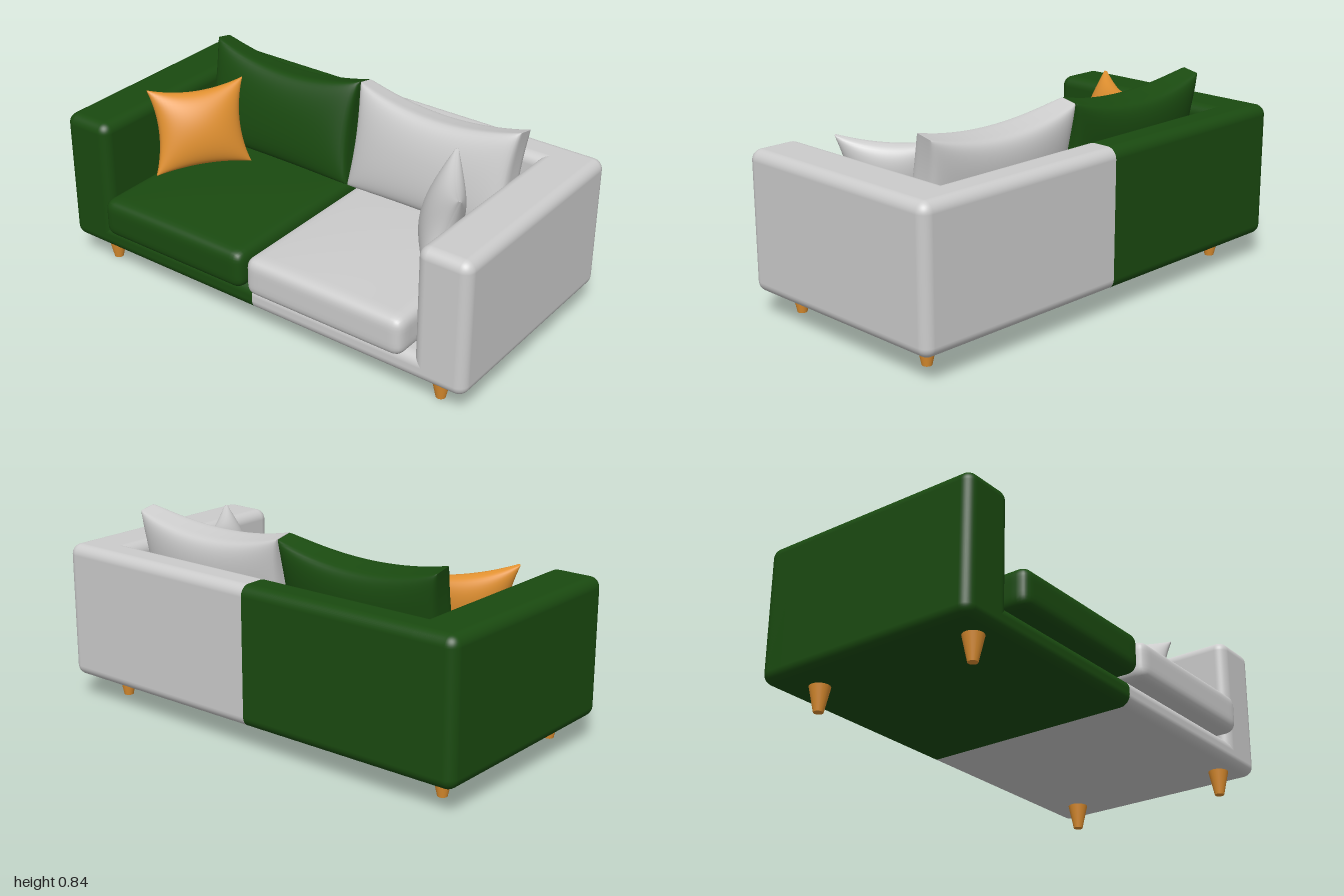
import * as THREE from 'three';
import { mergeVertices } from 'three/addons/utils/BufferGeometryUtils.js';
import { RoundedBoxGeometry } from 'three/addons/geometries/RoundedBoxGeometry.js';

const material = (color) => new THREE.MeshStandardMaterial({ color, roughness: 0.9 });
const grey = material(0xcccccc);
const green = material(0x1a4a10);
const orange = material(0xe09030);

// Unit cube (-1..1) with denser rows near its edges, moved by a rule, smooth normals
function moulded(nx, ny, nz, rule) {
  let geo = new THREE.BoxGeometry(2, 2, 2, nx, ny, nz);
  geo.deleteAttribute('uv');
  geo.deleteAttribute('normal');
  geo = mergeVertices(geo);
  const pos = geo.attributes.position;
  const ease = (t) => Math.sin((t * Math.PI) / 2);
  for (let i = 0; i < pos.count; i++) {
    const p = rule(ease(pos.getX(i)), ease(pos.getY(i)), ease(pos.getZ(i)));
    pos.setXYZ(i, p.x, p.y, p.z);
  }
  geo.computeVertexNormals();
  return geo;
}

// Stuffed pillow facing +z: pinched outline, pointed corners, swollen middle
function pillow({ w, h, thick, edge, power, pinchX, pinchTop, pinchBottom }) {
  return moulded(28, 28, 4, (u, v, s) => {
    const a = Math.max(0, 1 - u * u);
    const b = Math.max(0, 1 - v * v);
    const half = edge + (thick / 2 - edge) * Math.pow(a * b, power);
    const pinchY = v > 0 ? pinchTop : pinchBottom;
    return new THREE.Vector3(
      (u * w / 2) * (1 - pinchX * b),
      (v * h / 2) * (1 - pinchY * a),
      s * half
    );
  });
}

// Rounded block with a gently domed top
function seatBlock(w, h, d, r, crown) {
  const size = new THREE.Vector3(w / 2, h / 2, d / 2);
  const inner = size.clone().subScalar(r);
  const low = inner.clone().negate();
  return moulded(28, 14, 28, (u, v, s) => {
    const p = new THREE.Vector3(u, v, s).multiply(size);
    const core = p.clone().clamp(low, inner);
    p.sub(core).setLength(r).add(core);
    p.y += crown * (1 - u * u) * (1 - s * s) * (v > 0 ? v : 0);
    return p;
  });
}

// Rounded frame block for one half, cut flat where the halves meet at x = 0
function frameBlock(side, x0, x1, y0, y1, z0, z1) {
  const geo = new RoundedBoxGeometry(x1 - x0, y1 - y0, z1 - z0, 5, 0.045);
  geo.translate((side * (x0 + x1)) / 2, (y0 + y1) / 2, (z0 + z1) / 2);
  const pos = geo.attributes.position;
  for (let i = 0; i < pos.count; i++) pos.setX(i, side * Math.max(0, side * pos.getX(i)));
  return geo;
}

export function createModel() {
  const sofa = new THREE.Group();
  sofa.name = 'sofa';

  const seatGeo = seatBlock(0.745, 0.17, 0.895, 0.045, 0.015);
  const backGeo = pillow({
    w: 0.765, h: 0.455, thick: 0.22, edge: 0.035, power: 0.36,
    pinchX: 0.05, pinchTop: 0.24, pinchBottom: 0.04,
  });
  const throwGeo = pillow({
    w: 0.42, h: 0.37, thick: 0.16, edge: 0.006, power: 0.5,
    pinchX: 0.16, pinchTop: 0.18, pinchBottom: 0.12,
  });
  const legGeo = new THREE.CylinderGeometry(0.045, 0.02, 0.115, 24);

  for (const side of [-1, 1]) {
    const half = new THREE.Group();
    half.name = side > 0 ? 'leftHalf' : 'rightHalf';
    const fabric = side > 0 ? grey : green;
    const add = (name, geo, mat, x = 0, y = 0, z = 0) => {
      const mesh = new THREE.Mesh(geo, mat);
      mesh.name = name;
      mesh.position.set(side * x, y, z);
      half.add(mesh);
      return mesh;
    };

    // Frame
    add('base', frameBlock(side, -0.2, 1, 0.105, 0.215, -0.54, 0.475), fabric);
    add('backrest', frameBlock(side, -0.2, 1, 0.105, 0.69, -0.54, -0.38), fabric);
    add('armrest', frameBlock(side, 0.77, 1, 0.105, 0.69, -0.54, 0.475), fabric);

    // Cushions
    add('seatCushion', seatGeo, fabric, 0.382, 0.3, 0.0875);
    const back = add('backCushion', backGeo, fabric, 0.385, 0.615, -0.245);
    back.rotation.x = -0.2;

    // Throw pillow leaning on the armrest
    const loose = add('throwPillow', throwGeo, side > 0 ? grey : orange, 0.62, 0.578, 0.06);
    loose.rotation.set(-0.3, -side * 0.98, 0, 'YXZ');

    // Tapered legs
    for (const [name, z] of [['frontLeg', 0.375], ['backLeg', -0.37]]) {
      add(name, legGeo, orange, 0.845, 0.0575, z);
    }
    sofa.add(half);
  }
  return sofa;
}
